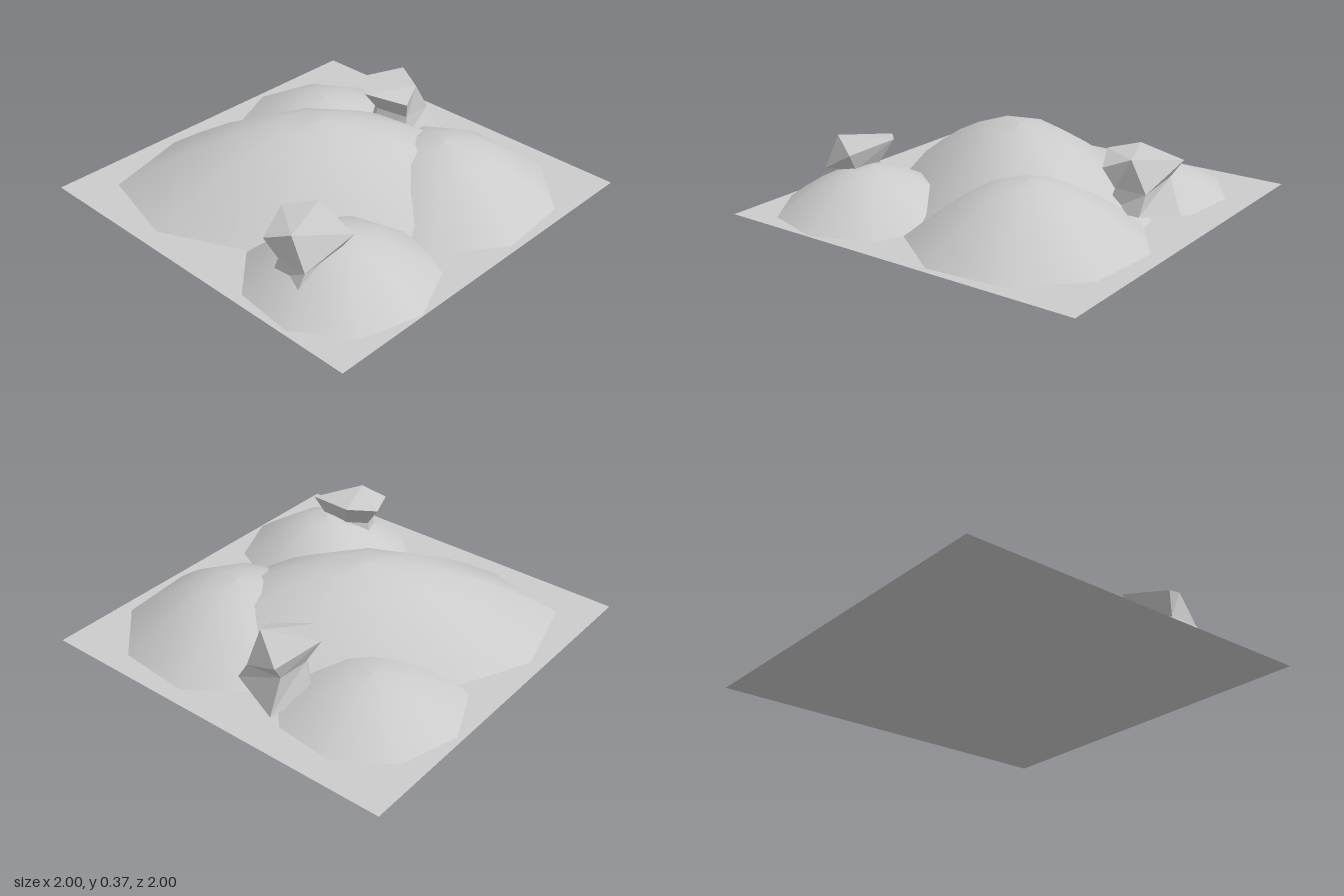
import * as THREE from 'three';

const SIDES = 9;
const RINGS = 5;
const material = new THREE.MeshStandardMaterial({ color: 0xcccccc });
const rockMaterial = new THREE.MeshStandardMaterial({ color: 0xcccccc, flatShading: true });

// Unit mound: cosine profile turned into a smooth nine-sided dome, first corner on +x
function moundGeometry() {
  const profile = [];
  for (let i = RINGS; i >= 0; i--) {
    const t = i / RINGS;
    profile.push(new THREE.Vector2(t, i === RINGS ? 0 : Math.cos(t * Math.PI / 2)));
  }
  return new THREE.LatheGeometry(profile, SIDES, Math.PI / 2);
}

// Faceted boulder: wide top, narrow waist and a skirt sunk into the hill
function rockGeometry() {
  const rings = [
    [[-0.21, 0.30, -0.03], [-0.09, 0.32, -0.15], [0.18, 0.29, -0.10], [0.02, 0.32, 0.13], [-0.11, 0.27, 0.18]],
    [[-0.13, 0.19, -0.01], [-0.04, 0.20, -0.09], [0.12, 0.20, -0.08], [0.11, 0.165, 0.14], [-0.06, 0.165, 0.14]],
    [[-0.16, 0.03, -0.02], [-0.05, 0.03, -0.13], [0.19, 0.01, -0.07], [0.11, 0.07, 0.20], [-0.09, 0.05, 0.16]],
  ];
  const positions = [];
  const tri = (...corners) => corners.forEach((c) => positions.push(...c));
  const top = rings[0];
  // Top cap
  tri(top[3], top[2], top[1]);
  tri(top[3], top[1], top[0]);
  tri(top[3], top[0], top[4]);
  // Side bands
  for (let r = 0; r < 2; r++) {
    const a = rings[r];
    const b = rings[r + 1];
    for (let i = 0; i < 5; i++) {
      const j = (i + 1) % 5;
      tri(a[i], a[j], b[j]);
      tri(a[i], b[j], b[i]);
    }
  }
  const geometry = new THREE.BufferGeometry();
  geometry.setAttribute('position', new THREE.Float32BufferAttribute(positions, 3));
  geometry.computeVertexNormals();
  return geometry;
}

export function createModel() {
  const model = new THREE.Group();
  model.name = 'hillyTerrain';

  const add = (name, geometry, mat, x, z, turn) => {
    const mesh = new THREE.Mesh(geometry, mat);
    mesh.name = name;
    mesh.position.set(x, 0, z);
    mesh.rotation.y = turn;
    model.add(mesh);
    return mesh;
  };

  // Flat square ground
  const groundGeometry = new THREE.PlaneGeometry(2, 2).rotateX(-Math.PI / 2);
  const groundMaterial = new THREE.MeshStandardMaterial({ color: 0xcccccc, side: THREE.DoubleSide });
  add('ground', groundGeometry, groundMaterial, 0, 0, 0);

  // Overlapping hills: centre, half length, half width, height, heading in degrees
  const mound = moundGeometry();
  const hills = [
    ['mainHill', -0.08, 0.05, 1.03, 0.65, 0.37, 135],
    ['backLeftHill', 0.40, -0.35, 0.585, 0.585, 0.28, 15],
    ['frontLeftHill', 0.525, 0.52, 0.47, 0.47, 0.215, -4],
    ['backRightHill', -0.505, -0.41, 0.465, 0.465, 0.16, -104],
  ];
  for (const [name, x, z, length, width, height, heading] of hills) {
    const hill = add(name, mound, material, x, z, -THREE.MathUtils.degToRad(heading));
    hill.scale.set(length, height, width);
  }

  // Two boulders, the back one a quarter turn from the front one
  const rock = rockGeometry();
  add('frontRock', rock, rockMaterial, 0.46, 0.65, 0);
  add('backRock', rock, rockMaterial, -0.16, -0.62, Math.PI / 2);

  return model;
}
